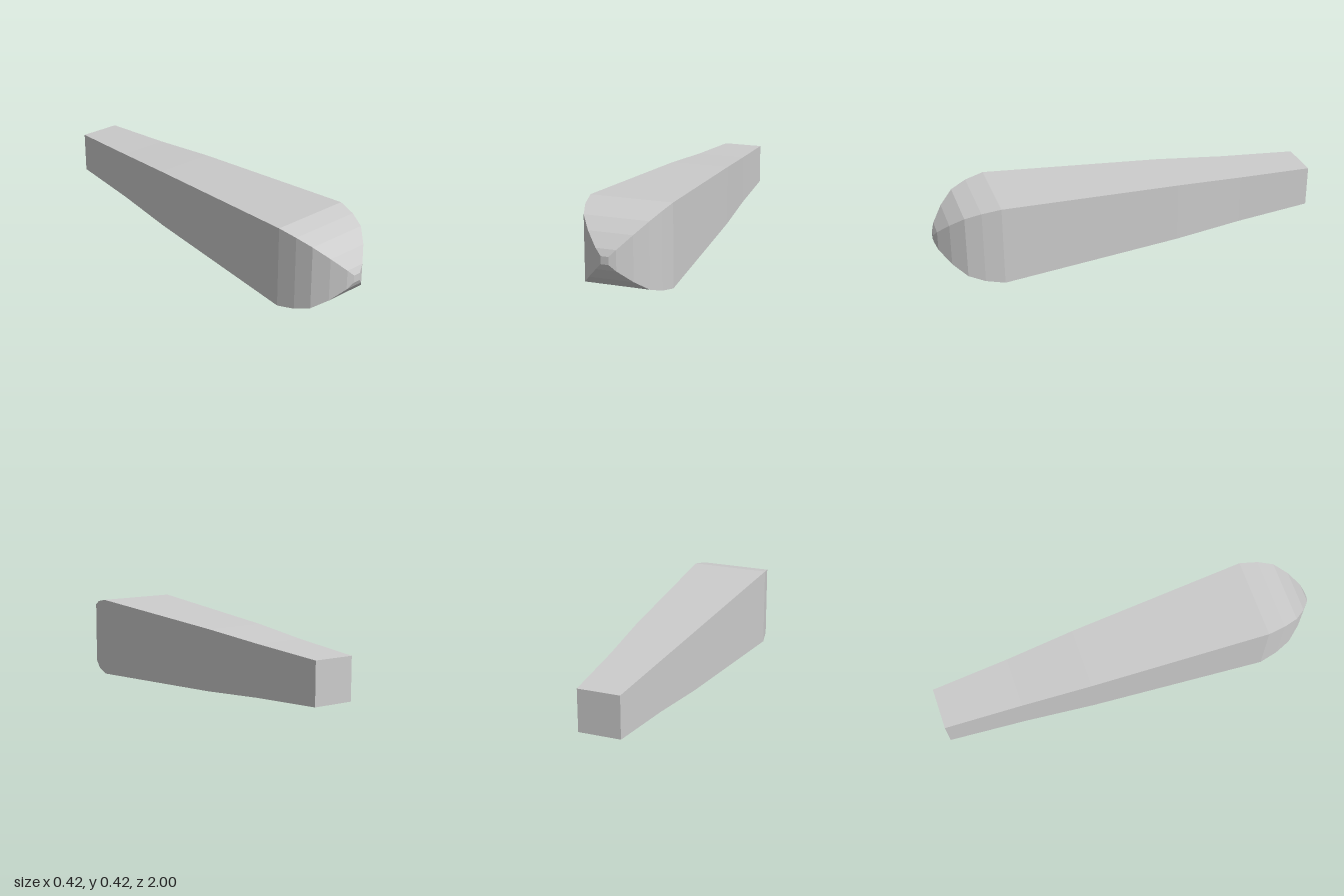
import * as THREE from 'three';

// [half width of the square section, z], from the butt end to the rounded tip
const SECTIONS = [
  [0, -1], [0.107, -1], [0.13, -0.6], [0.157, -0.24], [0.208, 0.69],
  [0.19, 0.785], [0.162, 0.865], [0.11, 0.932], [0.05, 0.985], [0.019, 1], [0, 1],
];

export function createModel() {
  const group = new THREE.Group();
  const material = new THREE.MeshStandardMaterial({ color: 0xcccccc, flatShading: true });

  // Four-sided lathe: the corner radius is the half width times the square root of 2
  const profile = SECTIONS.map(([half, z]) => new THREE.Vector2(half * Math.SQRT2, z));
  const geometry = new THREE.LatheGeometry(profile, 4, Math.PI / 4);
  geometry.rotateX(Math.PI / 2); // lay the axis along z, tip to the front
  geometry.translate(0, 0.208, 0);

  const body = new THREE.Mesh(geometry, material);
  body.name = 'taperedSquareClub';
  group.add(body);
  return group;
}
